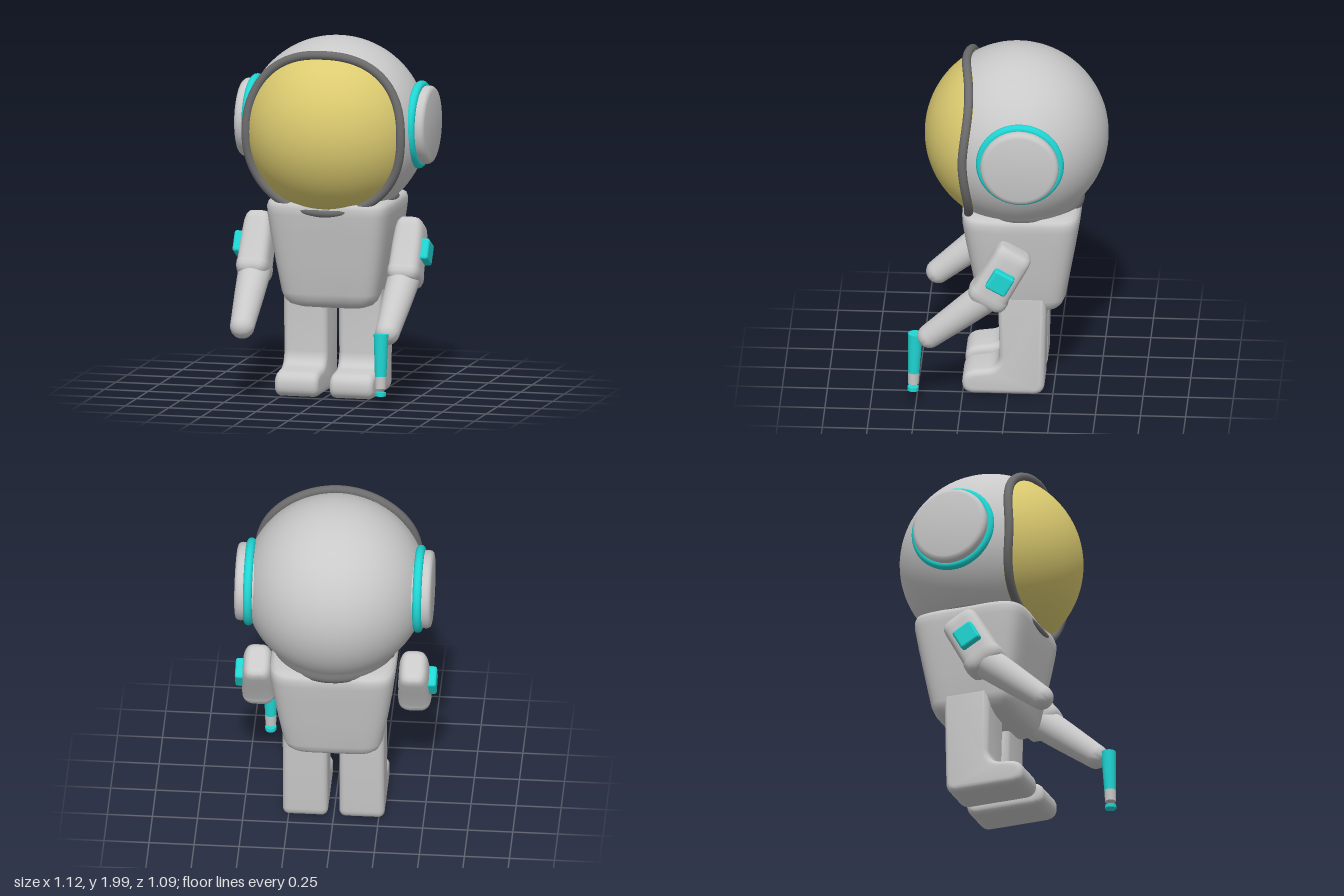
import * as THREE from 'three';
import { toCreasedNormals } from 'three/addons/utils/BufferGeometryUtils.js';
import { RoundedBoxGeometry } from 'three/addons/geometries/RoundedBoxGeometry.js';
import { ParametricGeometry } from 'three/addons/geometries/ParametricGeometry.js';

const mat = (name, color) => {
  const m = new THREE.MeshStandardMaterial({ color });
  m.name = name;
  return m;
};

function add(parent, name, geometry, material, x = 0, y = 0, z = 0) {
  const mesh = new THREE.Mesh(geometry, material);
  mesh.name = name;
  mesh.position.set(x, y, z);
  parent.add(mesh);
  return mesh;
}

// Closed body from rounded-rectangle rings [y, halfWidth, halfDepth, centreZ], bottom to top
function loft(rings, power, sides = 64) {
  const pos = [], index = [];
  const bend = (v) => Math.sign(v) * Math.abs(v) ** (2 / power);
  rings.forEach(([y, w, d, cz = 0], j) => {
    for (let i = 0; i < sides; i++) {
      const a = (i / sides) * Math.PI * 2;
      pos.push(w * bend(Math.cos(a)), y, cz + d * bend(Math.sin(a)));
      if (j === rings.length - 1) continue;
      const p = j * sides + i, q = j * sides + ((i + 1) % sides);
      index.push(p, p + sides, q, q, p + sides, q + sides);
    }
  });
  const g = new THREE.BufferGeometry();
  g.setAttribute('position', new THREE.Float32BufferAttribute(pos, 3));
  g.setIndex(index);
  g.computeVertexNormals();
  return g;
}

const lathe = (points, sides = 40) => toCreasedNormals(
  new THREE.LatheGeometry(points.map(([r, y]) => new THREE.Vector2(r, y)), sides), 0.7);

// Visor outline: a slightly squared circle, as distance from the visor axis
const outline = (a) => 0.443 /
  (Math.abs(Math.cos(a)) ** 2.25 + Math.abs(Math.sin(a)) ** 2.25) ** (1 / 2.25);

function onSphere(radius, a, u, target) {
  const d = outline(a) * u;
  return target.set(d * Math.cos(a), d * Math.sin(a), Math.sqrt(radius * radius - d * d));
}

export function createModel() {
  const white = mat('suitGrey', 0xc9c9c9);
  const gold = mat('visorGold', 0xdccb70);
  const dark = mat('rimGrey', 0x6c6c6c);
  const cyan = mat('accentCyan', 0x1fd6d4);
  const model = new THREE.Group();
  model.name = 'astronaut';

  // Helmet with visor and rim
  const helmet = new THREE.Group();
  helmet.name = 'helmet';
  helmet.position.set(0, 1.492, -0.037);
  model.add(helmet);
  add(helmet, 'helmetShell', new THREE.SphereGeometry(0.507, 64, 48), white);
  const visor = new ParametricGeometry(
    (u, v, t) => onSphere(0.511, v * Math.PI * 2, u, t), 24, 96);
  const p = visor.attributes.position;
  for (let i = 0; i < p.count; i++) {
    const n = new THREE.Vector3().fromBufferAttribute(p, i).normalize();
    visor.attributes.normal.setXYZ(i, n.x, n.y, n.z);
  }
  add(helmet, 'visor', visor, gold);
  const rimPoints = Array.from({ length: 48 }, (_, i) =>
    onSphere(0.524, (i / 48) * Math.PI * 2, 1, new THREE.Vector3()));
  const rimPath = new THREE.CatmullRomCurve3(rimPoints, true);
  add(helmet, 'visorRim', new THREE.TubeGeometry(rimPath, 128, 0.025, 12, true), dark);

  // Collar under the helmet
  const collar = new THREE.TorusGeometry(0.315, 0.028, 12, 64).rotateX(Math.PI / 2);
  add(model, 'collar', collar, dark, 0, 1.1, -0.07);

  // Tapered torso with a softly bulging bottom
  add(model, 'torso', loft([
    [0.476, 0, 0, -0.07], [0.482, 0.1, 0.09, -0.07], [0.497, 0.19, 0.17, -0.07],
    [0.515, 0.237, 0.212, -0.07], [0.54, 0.262, 0.232, -0.07], [0.58, 0.278, 0.248, -0.07],
    [0.75, 0.308, 0.278, -0.07], [0.92, 0.334, 0.308, -0.07], [1.03, 0.348, 0.326, -0.07],
    [1.07, 0.35, 0.328, -0.07], [1.095, 0.342, 0.32, -0.07], [1.108, 0.32, 0.3, -0.07],
    [1.112, 0.28, 0.26, -0.07], [1.112, 0, 0, -0.07],
  ], 6, 96), white);

  // Leg and boot outline, drawn in side profile
  const s = new THREE.Shape();
  s.moveTo(-0.215, 0.62);
  s.lineTo(-0.204, 0.07);
  s.quadraticCurveTo(-0.2, 0.012, -0.14, 0.008);
  s.lineTo(0.19, 0.008);
  s.quadraticCurveTo(0.253, 0.012, 0.253, 0.07);
  s.quadraticCurveTo(0.255, 0.14, 0.18, 0.15);
  s.lineTo(0.12, 0.158);
  s.quadraticCurveTo(0.05, 0.165, 0.045, 0.24);
  s.lineTo(0.056, 0.62);
  const bevel = 0.035, legWidth = 0.25;
  const legGeo = toCreasedNormals(new THREE.ExtrudeGeometry(s, {
    depth: legWidth - 2 * bevel, bevelEnabled: true, bevelSize: bevel, bevelThickness: bevel,
    bevelOffset: -bevel, bevelSegments: 5, curveSegments: 10,
  }).translate(0, 0, bevel - legWidth / 2).rotateY(-Math.PI / 2), 0.6);

  // Upper arm with a cuff, along local -y
  const upperArmGeo = loft([
    [-0.372, 0, 0], [-0.37, 0.07, 0.09], [-0.355, 0.084, 0.108], [-0.33, 0.092, 0.116],
    [-0.3, 0.093, 0.115], [-0.285, 0.09, 0.108], [-0.15, 0.087, 0.106], [-0.06, 0.081, 0.105],
    [-0.025, 0.072, 0.102], [-0.006, 0.058, 0.09], [0, 0.04, 0.07], [0, 0, 0],
  ], 3.6);

  // Forearm with a rounded hand end, along local +y
  const forearmProfile = [[0.088, -0.08], [0.09, 0.02], [0.083, 0.16], [0.068, 0.4]];
  for (let i = 1; i <= 8; i++) {
    const a = (i / 8) * Math.PI / 2;
    forearmProfile.push([Math.max(0, 0.068 * Math.cos(a)), 0.4 + 0.068 * Math.sin(a)]);
  }
  const forearmGeo = lathe(forearmProfile);

  // Ear pad disc, axis along local +y
  const padGeo = lathe([[0.2, 0], [0.213, 0.08], [0.218, 0.115], [0.215, 0.13],
    [0.205, 0.141], [0.19, 0.145], [0, 0.145]], 64).rotateZ(-Math.PI / 2);
  const ringGeo = new THREE.TorusGeometry(0.219, 0.025, 14, 72).rotateY(Math.PI / 2);
  const patchGeo = new RoundedBoxGeometry(0.06, 0.124, 0.124, 3, 0.015);

  for (const side of [1, -1]) {
    const word = side > 0 ? 'left' : 'right';
    add(model, word + 'Leg', legGeo, white, side * 0.157, 0, 0);

    const ear = new THREE.Group();
    ear.name = word + 'Earpiece';
    ear.position.set(side * 0.4, 1.516, -0.08);
    ear.rotation.y = side > 0 ? 0 : Math.PI;
    model.add(ear);
    add(ear, 'earPad', padGeo, white);
    add(ear, 'earRing', ringGeo, cyan, 0.07);

    const arm = new THREE.Group();
    arm.name = word + 'UpperArm';
    arm.position.set(side * 0.433, 0.975, -0.06);
    arm.rotation.x = -0.51;
    model.add(arm);
    add(arm, 'sleeve', upperArmGeo, white);
    add(arm, 'armPatch', patchGeo, cyan, side * 0.096, -0.178, 0);

    const start = new THREE.Vector3(side * 0.428, 0.68, 0.115);
    const end = new THREE.Vector3(side * 0.415, 0.415, 0.437);
    const forearm = add(model, word + 'Forearm', forearmGeo, white, start.x, start.y, start.z);
    forearm.quaternion.setFromUnitVectors(
      new THREE.Vector3(0, 1, 0), end.sub(start).normalize());
  }

  // Handheld tool in the left hand: grip, collar and a separate tip
  const tool = new THREE.Group();
  tool.name = 'handTool';
  tool.position.set(0.4, 0.085, 0.517);
  tool.rotation.x = -0.04;
  model.add(tool);
  const band = (name, r0, r1, y0, y1, m) =>
    add(tool, name, new THREE.CylinderGeometry(r1, r0, y1 - y0, 32), m, 0, (y0 + y1) / 2, 0);
  band('toolGrip', 0.032, 0.041, 0.11, 0.347, cyan);
  band('toolNozzle', 0.03, 0.032, 0.043, 0.11, white);
  band('toolTip', 0.031, 0.031, 0, 0.022, cyan);

  return model;
}
